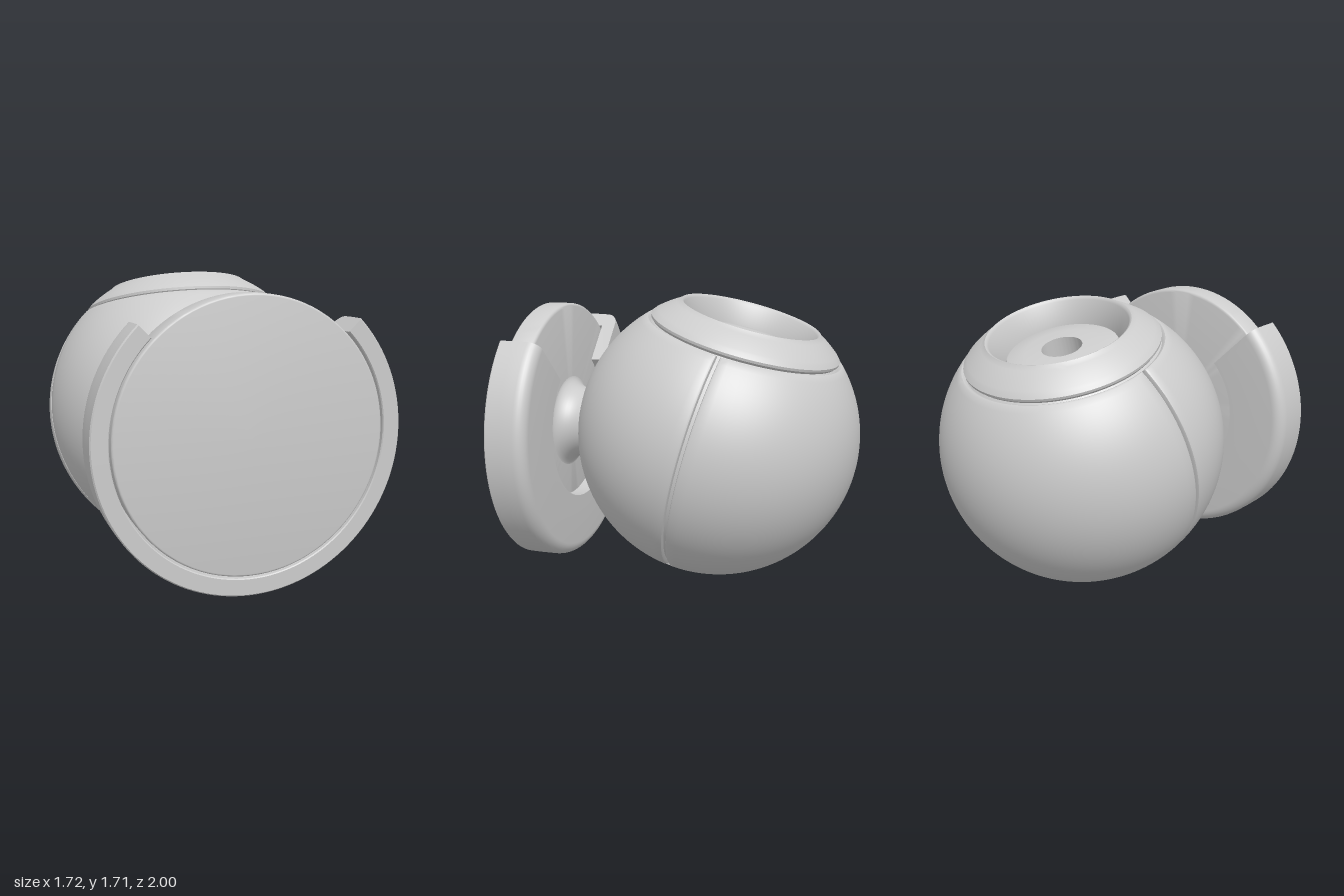
import * as THREE from 'three';
import { toCreasedNormals } from 'three/addons/utils/BufferGeometryUtils.js';

const R = 0.862;                                  // ball radius
const TOP = THREE.MathUtils.degToRad(43);         // polar angle of the top ring seam
const BOTTOM = THREE.MathUtils.degToRad(154.3);   // polar angle of the bottom cap seam
const grey = new THREE.MeshStandardMaterial({ color: 0xcccccc, side: THREE.DoubleSide });

function mesh(name, geometry, crease = 0.6) {
  const m = new THREE.Mesh(toCreasedNormals(geometry, crease), grey);
  m.name = name;
  return m;
}
const points = (list) => list.map(([x, y]) => new THREE.Vector2(x, y));
const lathe = (list, segments = 96, start = 0, length = Math.PI * 2) =>
  new THREE.LatheGeometry(points(list), segments, start, length);

// Points on a circle arc, angles measured from +x
function arc(cx, cy, r, from, to, n) {
  return Array.from({ length: n + 1 }, (_, i) => {
    const a = from + (to - from) * i / n;
    return [Math.max(0, cx + r * Math.cos(a)), cy + r * Math.sin(a)];
  });
}
// Arc on the ball profile, between two polar angles
const ballArc = (r, from, to, n) => arc(0, 0, r, Math.PI / 2 - from, Math.PI / 2 - to, n);

// Grid steps across a panel: rounded lips at both ends, even steps between
function lipSteps(n) {
  const lip = [[0, 0.05], [0, 0.014], [0.004, 0.005], [0.014, 0]];
  const steps = lip.map(([inset, drop]) => ({ t: 0, inset, drop }));
  for (let i = 1; i < n; i++) steps.push({ t: i / n, inset: 0.014, drop: 0 });
  lip.reverse().forEach(([inset, drop]) => steps.push({ t: 1, inset, drop }));
  return steps;
}

// Half of the ball's skin with softened edges along the seams
function halfShell() {
  const cols = lipSteps(48), rows = lipSteps(44), gap = 0.011;
  const g = new THREE.PlaneGeometry(1, 1, cols.length - 1, rows.length - 1);
  const p = g.attributes.position;
  for (let i = 0; i < p.count; i++) {
    const c = cols[i % cols.length], r = rows[Math.floor(i / cols.length)];
    const v = (gap + r.inset) / R;
    const polar = THREE.MathUtils.lerp(TOP + v, BOTTOM - v, r.t);
    const u = Math.asin((gap + c.inset) / (R * Math.sin(polar)));
    const a = THREE.MathUtils.lerp(Math.PI - u, u, c.t);
    const radius = R - Math.max(c.drop, r.drop);
    p.setXYZ(i, radius * Math.sin(polar) * Math.cos(a), radius * Math.cos(polar),
      radius * Math.sin(polar) * Math.sin(a));
  }
  return g;
}

function createBall() {
  const ball = new THREE.Group();
  ball.name = 'ball';

  const front = mesh('frontShell', halfShell());
  const back = mesh('backShell', halfShell());
  back.rotation.y = Math.PI;
  ball.add(front, back);

  // Dark floor of the seams
  ball.add(mesh('seamCore', lathe(ballArc(R - 0.03, BOTTOM + 0.05, TOP - 0.04, 40))));

  // Bottom cap
  ball.add(mesh('bottomCap', lathe([
    ...ballArc(R, Math.PI, BOTTOM + 0.018, 14),
    ...ballArc(R - 0.012, BOTTOM + 0.008, BOTTOM + 0.008, 1),
    ...ballArc(R - 0.05, BOTTOM + 0.008, BOTTOM + 0.008, 1),
  ])));

  // Top ring with its tapered opening
  ball.add(mesh('topRing', lathe([
    ...ballArc(R - 0.05, TOP - 0.006, TOP - 0.006, 1),
    ...ballArc(R - 0.01, TOP - 0.006, TOP - 0.006, 1),
    ...ballArc(R + 0.002, TOP - 0.016, TOP - 0.016, 1),
    ...ballArc(R + 0.006, TOP - 0.05, 0.53, 10),
    [0.425, 0.762], [0.415, 0.757], [0.407, 0.745], [0.345, 0.6], [0.345, 0.56], [0.3, 0.56],
  ])));

  // Recessed disc with a centre bore
  ball.add(mesh('recessedDisc', lathe([
    [0.335, 0.55], [0.335, 0.61], [0.331, 0.619], [0.322, 0.624],
    [0.22, 0.638], [0.12, 0.644], [0.12, 0.34], [0, 0.34],
  ])));

  ball.position.set(0, 0.865, -0.14);
  ball.rotation.x = THREE.MathUtils.degToRad(-15);
  return ball;
}

// Mount, made about the y axis and then turned to face +z
function createMount() {
  const mount = new THREE.Group();
  mount.name = 'mount';

  // Cup: back wall and rim, open over the top quarter
  const cupProfile = [
    [0.48, 0.755], ...arc(0.79, 0.825, 0.07, -Math.PI / 2, 0, 8),
    [0.862, 0.9], [0.862, 0.992], [0.855, 1], [0.768, 1], [0.763, 0.994],
    [0.763, 0.845], [0.48, 0.845],
  ];
  const start = -Math.PI * 0.75, sweep = Math.PI * 1.5;
  const cup = new THREE.Group();
  cup.name = 'cup';
  cup.add(mesh('cupWall', lathe([...cupProfile, cupProfile[0]], 96, start, sweep)));
  for (const phi of [start, start + sweep]) {
    const end = mesh('cupEnd', new THREE.ShapeGeometry(new THREE.Shape(points(cupProfile))));
    end.rotation.y = phi - Math.PI / 2;
    cup.add(end);
  }

  // Face disc filling the cup
  const disc = mesh('faceDisc', lathe([
    [0, 0.848], ...arc(0.732, 0.868, 0.02, -Math.PI / 2, 0, 4),
    ...arc(0.74, 0.988, 0.012, 0, Math.PI / 2, 4), [0, 1],
  ]));

  // Neck flaring into the disc
  const neck = mesh('neck', lathe([
    [0.215, 0.6], [0.215, 0.72], ...arc(0.355, 0.73, 0.14, Math.PI, Math.PI / 2, 10)
      .map(([r, h]) => [r, Math.min(h, 0.85)]),
  ]));

  mount.add(cup, disc, neck);
  // The neck arc opens toward the disc
  mount.rotation.x = Math.PI / 2;
  mount.position.y = 0.878;
  return mount;
}

export function createModel() {
  const model = new THREE.Group();
  model.name = 'ballMount';
  model.add(createBall(), createMount());
  return model;
}
